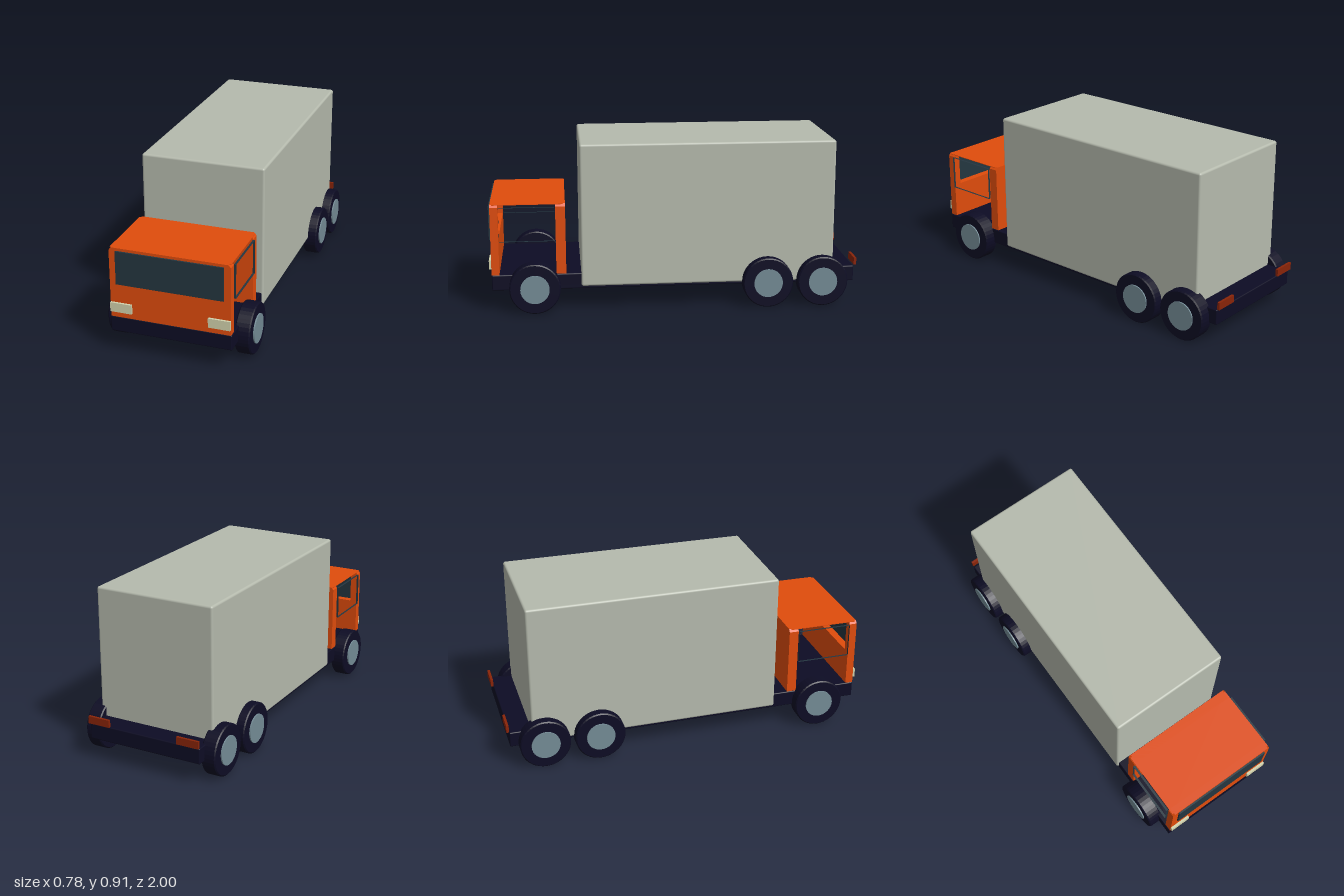
import * as THREE from 'three';
import { RoundedBoxGeometry } from 'three/addons/geometries/RoundedBoxGeometry.js';

const mat = (name, color, side = THREE.FrontSide) => {
  const m = new THREE.MeshStandardMaterial({ color, side });
  m.name = name;
  return m;
};

export function createModel() {
  const truck = new THREE.Group();
  truck.name = 'boxTruck';

  const orange = mat('cabOrange', 0xe04c0c, THREE.DoubleSide);
  const grey = mat('cargoGrey', 0xb5baad);
  const navy = mat('chassisNavy', 0x0d0c24);
  const glass = mat('darkGlass', 0x243640, THREE.DoubleSide);
  const steel = mat('hubSteel', 0x748c96);
  const cream = mat('headlightCream', 0xd2d2ac);
  const red = mat('tailLightRed', 0x8a2408);

  const add = (name, geometry, material, x = 0, y = 0, z = 0) => {
    const mesh = new THREE.Mesh(geometry, material);
    mesh.name = name;
    mesh.position.set(x, y, z);
    truck.add(mesh);
    return mesh;
  };
  // Box given by its lower and upper limits on each axis
  const box = (name, material, [x0, x1], [y0, y1], [z0, z1], r = 0) => {
    const size = [x1 - x0, y1 - y0, z1 - z0];
    const geo = r ? new RoundedBoxGeometry(...size, 3, r) : new THREE.BoxGeometry(...size);
    return add(name, geo, material, (x0 + x1) / 2, (y0 + y1) / 2, (z0 + z1) / 2);
  };

  // Chassis and cargo body
  box('chassis', navy, [-0.325, 0.325], [0.12, 0.205], [-0.985, 0.985], 0.006);
  box('cargoBox', grey, [-0.335, 0.335], [0.133, 0.908], [-0.867, 0.507], 0.012);

  // Cab end walls with chamfered upper corners; the front one has a windscreen opening
  const wall = (name, z, depth, opening) => {
    const s = new THREE.Shape();
    s.moveTo(-0.321, 0.205);
    s.lineTo(0.321, 0.205);
    s.lineTo(0.321, 0.575);
    s.lineTo(0.309, 0.59);
    s.lineTo(-0.309, 0.59);
    s.lineTo(-0.321, 0.575);
    s.closePath();
    if (opening) {
      const h = new THREE.Path();
      h.moveTo(-0.28, 0.4);
      h.lineTo(-0.28, 0.57);
      h.lineTo(0.28, 0.57);
      h.lineTo(0.28, 0.4);
      h.closePath();
      s.holes.push(h);
    }
    add(name, new THREE.ExtrudeGeometry(s, { depth, bevelEnabled: false }), orange, 0, 0, z);
  };
  wall('cabFront', 0.944, 0.042, true);
  wall('cabBack', 0.587, 0.053, false);

  // Thin roof bridging the open-sided cab
  box('cabRoof', orange, [-0.318, 0.318], [0.587, 0.59], [0.6, 0.975]);
  box('windscreen', glass, [-0.285, 0.285], [0.393, 0.575], [0.986, 0.995]);

  for (const side of [-1, 1]) {
    const label = side > 0 ? 'left' : 'right';

    // Open window frame: a box without its two broad faces
    const frame = new THREE.BoxGeometry(0.012, 0.185, 0.296);
    frame.setIndex(Array.from(frame.index.array).slice(12));
    frame.clearGroups();
    add(label + 'WindowFrame', frame, glass, side * 0.326, 0.482, 0.792);

    // Lamps
    const span = (a, b) => side > 0 ? [a, b] : [-b, -a];
    box(label + 'Headlight', cream, span(0.204, 0.32), [0.237, 0.288], [0.984, 0.998]);
    box(label + 'TailLight', red, span(0.2, 0.325), [0.21, 0.25], [-1, -0.986]);

    // Three wheels: a tyre with softened rims, and a hub disc
    for (const [axle, z] of [['front', 0.756], ['middle', -0.503], ['rear', -0.803]]) {
      const profile = [[0, -0.04], [0.131, -0.04], [0.137, -0.034], [0.137, 0.034], [0.131, 0.04], [0, 0.04]]
        .map(([r, h]) => new THREE.Vector2(r, h));
      const tyreGeo = new THREE.LatheGeometry(profile, 40).toNonIndexed();
      tyreGeo.computeVertexNormals();
      add(`${label}${axle}Tyre`, tyreGeo, navy, side * 0.345, 0.138, z).rotation.z = -side * Math.PI / 2;
      add(`${label}${axle}Hub`, new THREE.CylinderGeometry(0.078, 0.078, 0.016, 32), steel, side * 0.384, 0.138, z)
        .rotation.z = -side * Math.PI / 2;
    }
  }
  return truck;
}
